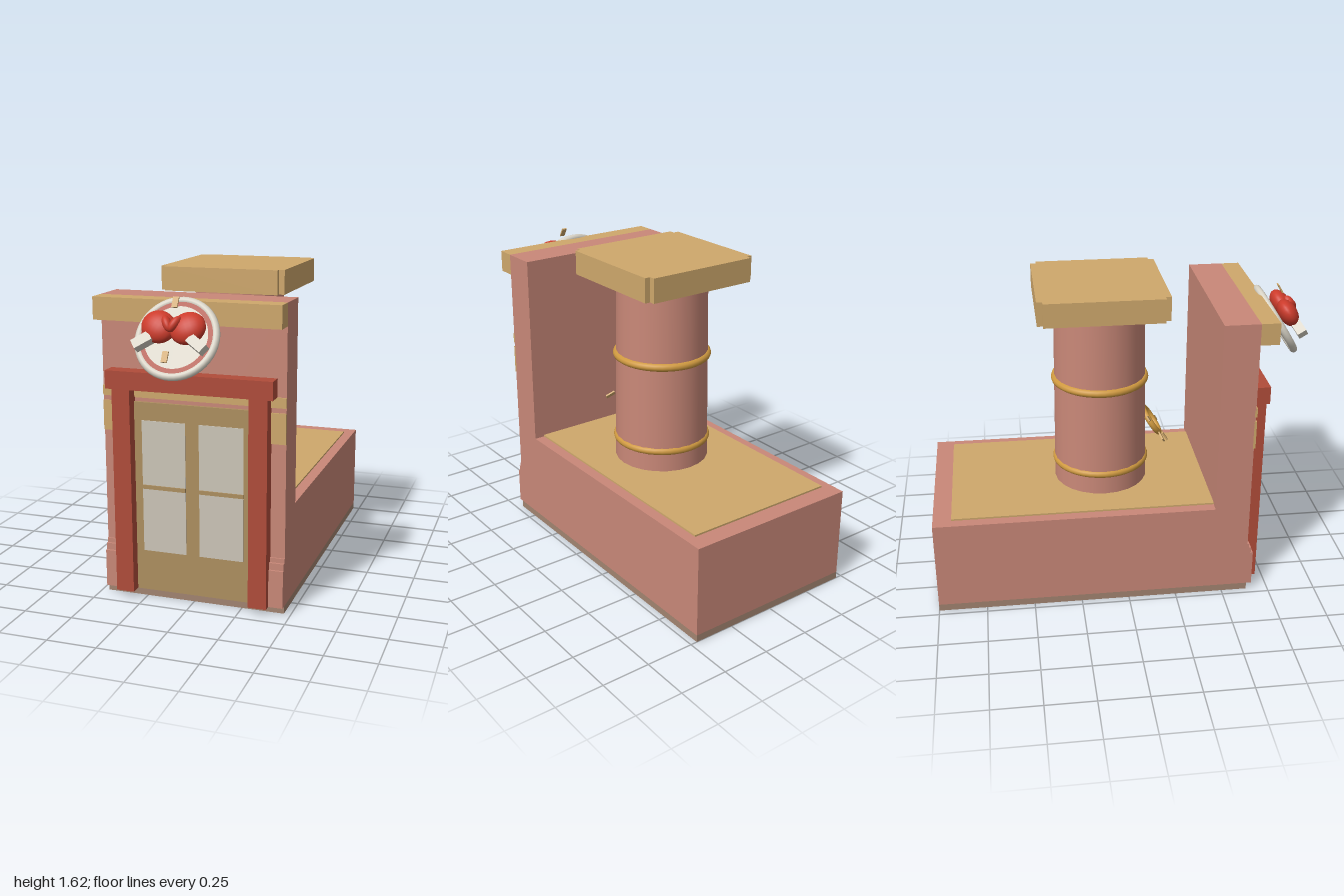
import * as THREE from 'three';

const mat = (name, color) => {
  const m = new THREE.MeshStandardMaterial({ color });
  m.name = name;
  return m;
};

export function createModel() {
  const brick = mat('brick', 0xc98878);
  const tan = mat('tan stone', 0xcfa86c);
  const doorTan = mat('door wood', 0xae8f60);
  const glass = mat('pale glass', 0xcdc6b8);
  const frameRed = mat('frame red', 0xb04c3a);
  const gloveRed = mat('glove red', 0xcc3b2b);
  const gold = mat('gold', 0xd09a40);
  const white = mat('off white', 0xd8d3c6);
  const plinthBrown = mat('plinth brown', 0xa28470);

  const model = new THREE.Group();
  const add = (name, geo, material, parent = model) => {
    const mesh = new THREE.Mesh(geo, material);
    mesh.name = name;
    parent.add(mesh);
    return mesh;
  };
  // Box given by its limits on each axis
  const box = (name, material, [x0, x1], [y0, y1], [z0, z1], parent = model) => {
    const mesh = add(name, new THREE.BoxGeometry(x1 - x0, y1 - y0, z1 - z0), material, parent);
    mesh.position.set((x0 + x1) / 2, (y0 + y1) / 2, (z0 + z1) / 2);
    return mesh;
  };
  const W = 0.465;

  // Plinth and L-shaped brick building (low hall with tall front wall)
  box('plinth', plinthBrown, [-W, W], [0, 0.037], [-1, 0.635]);
  const profile = new THREE.Shape([
    [-0.63, 0.037], [1, 0.037], [1, 0.51], [-0.45, 0.51], [-0.45, 1.525], [-0.63, 1.525],
  ].map(p => new THREE.Vector2(...p)));
  const walls = add('walls', new THREE.ExtrudeGeometry(profile, { depth: 2 * W, bevelEnabled: false }), brick);
  walls.rotation.y = Math.PI / 2;
  walls.position.x = -W;
  box('roofPanel', tan, [-0.41, 0.41], [0.505, 0.519], [-0.905, 0.45]);
  box('cornice', tan, [-W, W], [1.415, 1.525], [0.63, 0.725]);

  // Front bands and stepped wall feet
  box('upperBand', tan, [-W, W], [1.03, 1.08], [0.625, 0.638]);
  box('lowerBand', tan, [-W, W], [0.855, 1.005], [0.625, 0.638]);
  for (const s of [-1, 1]) {
    const span = [Math.min(s * 0.38, s * W), Math.max(s * 0.38, s * W)];
    [[0.037, 0.228, 0.662], [0.228, 0.262, 0.65], [0.262, 0.285, 0.638]].forEach(
      ([y0, y1, z]) => box('wallFoot', brick, span, [y0, y1], [0.625, z]));
  }

  // Doorway: posts, lintel, double door with panes
  const doorway = new THREE.Group();
  doorway.name = 'doorway';
  model.add(doorway);
  box('lintel', frameRed, [-0.42, 0.42], [1.08, 1.17], [0.625, 0.71], doorway);
  box('door', doorTan, [-0.31, 0.31], [0.037, 1.01], [0.625, 0.645], doorway);
  for (const s of [-1, 1]) {
    const span = (a, b) => [Math.min(s * a, s * b), Math.max(s * a, s * b)];
    box('doorPost', frameRed, span(0.3, 0.392), [0.037, 1.08], [0.625, 0.7], doorway);
    box('windowBar', doorTan, span(0.035, 0.26), [0.573, 0.593], [0.64, 0.655], doorway);
    for (const y of [[0.248, 0.573], [0.593, 0.92]])
      box('windowPane', glass, span(0.035, 0.26), y, [0.643, 0.649], doorway);
  }

  // Round chimney tower with gold hoops and a notched square cap
  const tower = new THREE.Group();
  tower.name = 'tower';
  tower.position.z = -0.1;
  model.add(tower);
  add('towerShaft', new THREE.CylinderGeometry(0.234, 0.247, 0.99, 24), brick, tower).position.y = 1.01;
  for (const y of [0.63, 1.095]) {
    const hoop = add('towerHoop', new THREE.TorusGeometry(0.235, 0.021, 10, 40), gold, tower);
    hoop.rotation.x = Math.PI / 2;
    hoop.position.y = y;
  }
  const a = 0.327, b = 0.298;
  const capShape = new THREE.Shape([
    [a, -b], [a, b], [b, b], [b, a], [-b, a], [-b, b], [-a, b], [-a, -b], [-b, -b], [-b, -a], [b, -a], [b, -b],
  ].map(p => new THREE.Vector2(...p)));
  const cap = add('towerCap', new THREE.ExtrudeGeometry(capShape, { depth: 0.123, bevelEnabled: false }), tan, tower);
  cap.rotation.x = -Math.PI / 2;
  cap.position.set(0, 1.497, -0.004);

  // Small flat tick standing around a sign, at an angle measured from its top
  const tick = (parent, angle, radius, z) => {
    const t = add('tick', new THREE.BoxGeometry(0.028, 0.052, 0.008), tan, parent);
    t.position.set(Math.sin(angle) * radius, Math.cos(angle) * radius, z);
    t.rotation.z = -angle;
  };

  // Small tilted ring on the tower front
  const dial = new THREE.Group();
  dial.name = 'towerDial';
  dial.position.set(0, 0.82, 0.175);
  dial.rotation.x = -0.57;
  model.add(dial);
  add('dialRing', new THREE.TorusGeometry(0.08, 0.016, 8, 32), gold, dial);
  for (const k of [0, 2, 3, 4, 5, 6]) tick(dial, k * Math.PI / 3, 0.131, 0.008);
  // Round sign above the door, tilted upward
  const sign = new THREE.Group();
  sign.name = 'roundSign';
  sign.position.set(0, 1.367, 0.825);
  sign.rotation.x = -0.55;
  model.add(sign);
  add('signRim', new THREE.TorusGeometry(0.185, 0.019, 12, 48), white, sign);
  const disc = add('signDisc', new THREE.CylinderGeometry(0.185, 0.185, 0.024, 48), white, sign);
  disc.rotation.x = Math.PI / 2;
  add('signRing', new THREE.RingGeometry(0.152, 0.177, 48), frameRed, sign).position.z = 0.015;
  tick(sign, 0, 0.135, 0.1);
  tick(sign, Math.PI, 0.128, 0.1);

  // Pair of mirrored boxing gloves: fist, thumb and cuff
  for (const s of [-1, 1]) {
    const ball = new THREE.SphereGeometry(1, 24, 16);
    const fist = add('gloveFist', ball, gloveRed, sign);
    fist.scale.set(0.084, 0.076, 0.048);
    fist.position.set(s * 0.07, 0.025, 0.068);
    fist.rotation.z = s * 0.45;
    const thumb = add('gloveThumb', ball, gloveRed, sign);
    thumb.scale.set(0.021, 0.042, 0.025);
    thumb.position.set(s * 0.018, 0.028, 0.105);
    thumb.rotation.z = -s * 0.5;
    const cuff = add('gloveCuff', new THREE.BoxGeometry(0.09, 0.046, 0.05), white, sign);
    cuff.position.set(s * 0.13, -0.052, 0.075);
    cuff.rotation.z = -s * 0.6;
  }
  return model;
}
